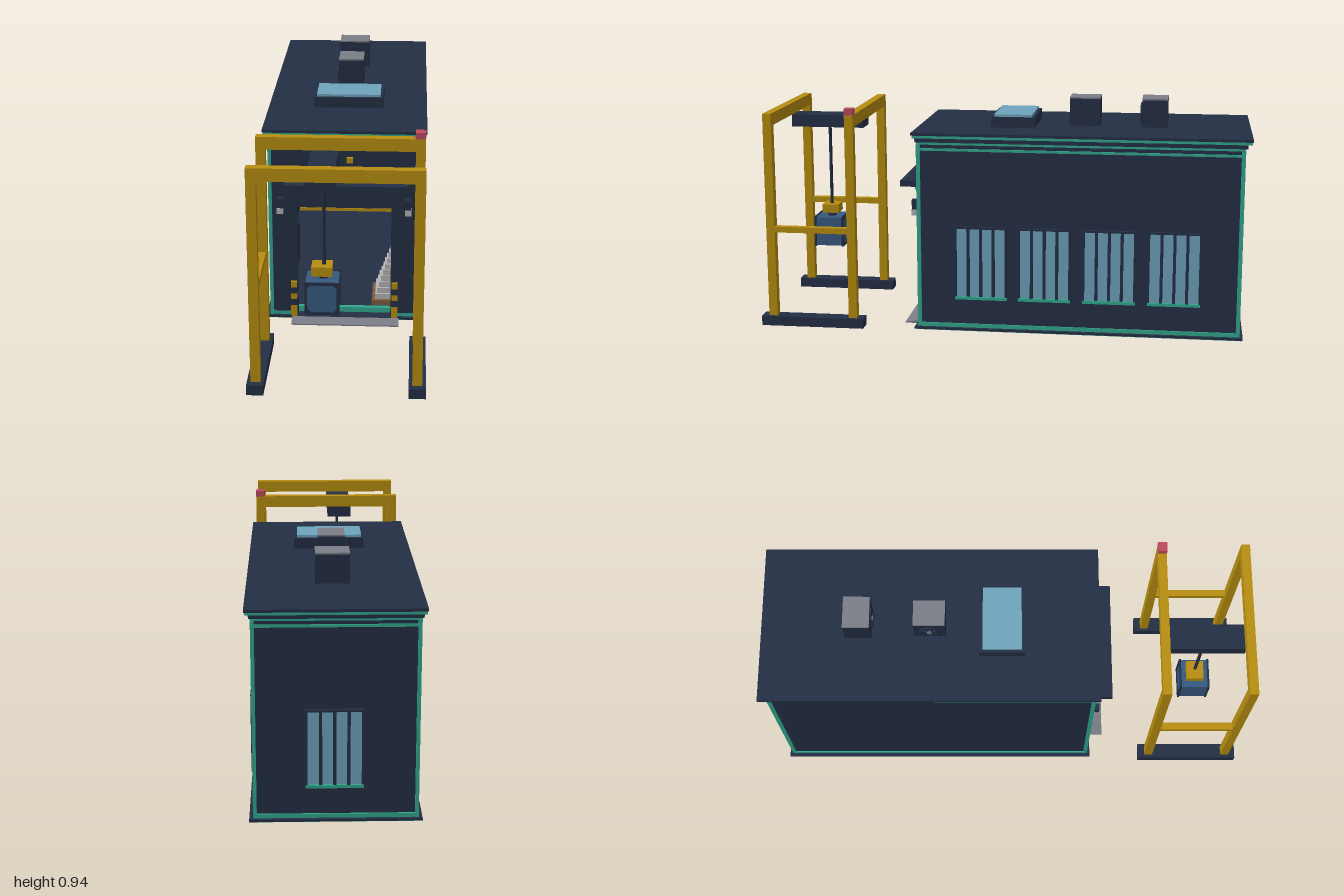
import * as THREE from 'three';

const mat = (name, color) => {
  const m = new THREE.MeshStandardMaterial({ color });
  m.name = name;
  return m;
};

export function createModel() {
  const navy = mat('navy', 0x242f46), teal = mat('teal', 0x32a990), yellow = mat('yellow', 0xb88f10);
  const glass = mat('glass', 0x6fa5be), blue = mat('blue', 0x375a82), grey = mat('grey', 0x7b7e88);
  const white = mat('pale stone', 0xb4b4b6), red = mat('red', 0xc04a60), brown = mat('brown', 0x7d5a3c);

  const root = new THREE.Group();
  const group = (name, parent = root) => {
    const g = new THREE.Group();
    g.name = name;
    parent.add(g);
    return g;
  };
  // Box given by its limits on each axis
  const box = (parent, name, m, x0, x1, y0, y1, z0, z1) => {
    const mesh = new THREE.Mesh(new THREE.BoxGeometry(x1 - x0, y1 - y0, z1 - z0), m);
    mesh.position.set((x0 + x1) / 2, (y0 + y1) / 2, (z0 + z1) / 2);
    mesh.name = name;
    parent.add(mesh);
    return mesh;
  };
  // Mirrored pair of boxes, given for the +x side
  const pair = (parent, name, m, x0, x1, ...rest) => {
    box(parent, name, m, x0, x1, ...rest);
    box(parent, name, m, -x1, -x0, ...rest);
  };

  // ---- Hall: walls, floor and roof ----
  const hall = group('hall');
  const W = 0.3, ZF = 0.335, ZB = -0.965;
  pair(hall, 'sideWall', navy, W - 0.02, W, 0.014, 0.8, ZB, ZF);
  box(hall, 'backWall', navy, -W + 0.02, W - 0.02, 0.014, 0.8, ZB, ZB + 0.02);
  const front = new THREE.Shape();
  front.moveTo(-W, 0.014).lineTo(-0.2, 0.014).lineTo(-0.2, 0.55).lineTo(0.2, 0.55)
    .lineTo(0.2, 0.014).lineTo(W, 0.014).lineTo(W, 0.8).lineTo(-W, 0.8).closePath();
  const frontWall = new THREE.Mesh(new THREE.ExtrudeGeometry(front, { depth: 0.02, bevelEnabled: false }), navy);
  frontWall.position.z = ZF - 0.02;
  frontWall.name = 'frontWall';
  hall.add(frontWall);
  box(hall, 'floor', navy, -0.32, 0.32, 0.005, 0.014, -0.985, 0.355);
  box(hall, 'floorUnderside', navy, -0.295, 0.295, 0, 0.004, -0.96, 0.33);
  box(hall, 'floorRim', teal, -0.315, 0.315, 0.002, 0.006, -0.98, 0.35);
  box(hall, 'roofSlab', navy, -0.325, 0.328, 0.814, 0.825, -1, 0.36);
  box(hall, 'eaveTrim', teal, -0.322, 0.325, 0.803, 0.814, -0.996, 0.356);
  box(hall, 'eaveBand', navy, -0.312, 0.312, 0.785, 0.803, -0.98, 0.347);
  box(hall, 'eaveLine', teal, -0.306, 0.306, 0.775, 0.785, -0.972, 0.341);

  // Teal outlines around each wall
  const trim = group('wallTrim');
  for (const [y0, y1] of [[0.014, 0.03], [0.75, 0.76]]) {
    pair(trim, 'sideRail', teal, W, W + 0.006, y0, y1, ZB, ZF);
    box(trim, 'backRail', teal, -W, W, y0, y1, ZB - 0.006, ZB);
  }
  for (const z of [ZF, ZB]) pair(trim, 'cornerPost', teal, W - 0.008, W + 0.006, 0.014, 0.775, z - 0.008, z + 0.008);
  box(trim, 'threshold', teal, -0.2, 0.2, 0.014, 0.036, 0.29, 0.31);
  pair(trim, 'frontRail', teal, 0.2, W, 0.014, 0.03, ZF, ZF + 0.006);
  box(trim, 'frontTopRail', teal, -W, W, 0.755, 0.762, ZF, ZF + 0.004);

  // Windows: four tall panes with raised dark mullions
  const pane = new THREE.Shape();
  pane.moveTo(-0.105, 0.15).lineTo(-0.1, 0.143).lineTo(0.1, 0.143).lineTo(0.105, 0.15)
    .lineTo(0.105, 0.425).lineTo(0.098, 0.435).lineTo(-0.098, 0.435).lineTo(-0.105, 0.425).closePath();
  const paneGeo = new THREE.ExtrudeGeometry(pane, { depth: 0.026, bevelEnabled: false });
  const addWindow = (x, z, turn) => {
    const w = group('window', hall);
    w.position.set(x, 0, z);
    w.rotation.y = turn;
    const p = new THREE.Mesh(paneGeo, glass);
    p.position.z = -0.023;
    p.name = 'windowPane';
    w.add(p);
    for (let i = -2; i <= 2; i++) {
      const c = i * 0.0515, h = Math.abs(i) === 2 ? 0.004 : 0.006;
      box(w, 'mullion', navy, c - h, c + h, 0.148, 0.432, 0, 0.014);
    }
    box(w, 'windowHead', navy, -0.107, 0.107, 0.432, 0.44, 0, 0.014);
    box(w, 'windowSill', teal, -0.107, 0.107, 0.135, 0.147, 0, 0.014);
  };
  for (const z of [0.08, -0.18, -0.443, -0.705]) addWindow(W, z, Math.PI / 2);
  addWindow(0.005, ZB, Math.PI);

  // ---- Front face ----
  const face = group('entrance');
  pair(face, 'pilaster', navy, 0.205, 0.285, 0.03, 0.75, ZF, ZF + 0.008);
  pair(face, 'doorJamb', navy, 0.19, 0.216, 0.014, 0.585, ZF - 0.01, ZF + 0.012);
  box(face, 'doorHead', navy, -0.216, 0.216, 0.55, 0.585, ZF - 0.01, ZF + 0.012);
  box(face, 'raisedDoor', navy, -0.195, 0.195, 0.485, 0.55, 0.312, 0.322);
  box(face, 'doorEdge', yellow, -0.18, 0.19, 0.473, 0.485, 0.308, 0.326);
  box(face, 'canopy', navy, -0.24, 0.255, 0.59, 0.615, ZF, 0.42);
  box(face, 'canopyEdge', teal, -0.24, 0.255, 0.578, 0.59, ZF, 0.358);
  box(face, 'signBoard', navy, -0.205, 0.205, 0.64, 0.78, ZF, ZF + 0.01);
  box(face, 'signLedge', navy, -0.215, 0.225, 0.628, 0.642, ZF, ZF + 0.016);
  box(face, 'signLine', teal, -0.21, 0.21, 0.621, 0.626, ZF, ZF + 0.014);
  box(face, 'signPost', navy, -0.007, 0.007, 0.66, 0.745, ZF, ZF + 0.018);
  box(face, 'signPostCap', teal, -0.021, 0.021, 0.745, 0.758, ZF, ZF + 0.018);
  box(face, 'signPostFoot', teal, -0.014, 0.014, 0.639, 0.645, ZF, ZF + 0.019);
  box(face, 'signBracket', yellow, 0.01, 0.035, 0.69, 0.712, ZF, ZF + 0.024);
  pair(face, 'lampHousing', navy, 0.243, 0.268, 0.498, 0.538, ZF, 0.37);
  pair(face, 'lamp', white, 0.245, 0.27, 0.473, 0.498, ZF, 0.372);
  // Striped guard posts beside the door
  for (const [y0, y1, m] of [[0.014, 0.064, yellow], [0.064, 0.092, navy], [0.092, 0.118, yellow],
    [0.118, 0.145, navy], [0.145, 0.17, yellow]]) pair(face, 'guardPost', m, 0.194, 0.219, y0, y1, 0.34, 0.36);
  const ramp = box(face, 'ramp', grey, -0.215, 0.225, 0, 0.014, 0.335, 0.412);
  const rp = ramp.geometry.attributes.position;
  for (let i = 0; i < rp.count; i++) if (rp.getZ(i) > 0 && rp.getY(i) > 0) rp.setY(i, -0.002);
  ramp.geometry.computeVertexNormals();

  // ---- Inside: stone heap on a pallet and side cabinets ----
  const inside = group('interior');
  box(inside, 'pallet', brown, 0.11, 0.275, 0.014, 0.036, 0.06, 0.24);
  for (let i = 0; i < 9; i++) {
    const r = 0.076 - i * 0.0078, y = 0.036 + i * 0.0238;
    box(inside, 'stoneLayer', white, 0.2 - r, 0.2 + r, y, y + 0.0238, 0.15 - r, 0.15 + r);
  }
  pair(inside, 'cabinet', navy, 0.23, 0.28, 0.014, 0.2, -0.25, -0.1);
  box(inside, 'palletUnderside', brown, 0.14, 0.28, -0.0005, 0.001, 0.08, 0.22);
  for (const z of [-0.7, -0.38, -0.06]) {
    for (const x of [0.2, -0.06]) box(inside, 'floorFixing', teal, x - 0.012, x + 0.012, -0.0005, 0.001, z - 0.02, z + 0.02);
  }

  // ---- Roof equipment ----
  const roof = group('roofEquipment');
  box(roof, 'skylightCurb', navy, -0.137, 0.148, 0.825, 0.868, -0.123, 0.058);
  box(roof, 'skylightGlass', glass, -0.127, 0.136, 0.868, 0.878, -0.11, 0.046);
  const vent = (x, z, wx, wz, turn) => {
    const g = group('ventUnit', roof);
    g.position.set(x, 0, z);
    box(g, 'ventBox', navy, -wx, wx, 0.825, 0.937, -wz, wz);
    box(g, 'ventLid', grey, -wx, wx, 0.937, 0.943, -wz, wz);
    const fan = group('fan', g);
    fan.rotation.y = turn;
    const d = turn === 0 ? wz : wx;
    const ring = new THREE.Mesh(new THREE.TorusGeometry(0.036, 0.005, 6, 20), navy);
    const hub = new THREE.Mesh(new THREE.CylinderGeometry(0.01, 0.01, 0.012, 12).rotateX(Math.PI / 2), grey);
    ring.name = 'fanRing';
    hub.name = 'fanHub';
    ring.position.set(0, 0.88, d + 0.003);
    hub.position.set(0, 0.88, d + 0.003);
    fan.add(ring, hub);
    for (let i = 0; i < 3; i++) {
      const blade = box(fan, 'fanBlade', navy, -0.034, 0.034, 0.876, 0.884, d, d + 0.005);
      blade.rotation.z = i * Math.PI / 3;
    }
  };
  vent(0.002, -0.321, 0.053, 0.063, -Math.PI / 2);
  vent(0.005, -0.609, 0.065, 0.053, 0);

  // ---- Gantry crane ----
  const crane = group('gantryCrane');
  pair(crane, 'foot', navy, 0.27, 0.334, 0, 0.04, 0.57, 1);
  for (const z of [0.598, 0.937]) {
    pair(crane, 'post', yellow, 0.283, 0.32, 0.04, 0.84, z, z + 0.035);
    box(crane, 'topBeam', yellow, -0.32, 0.32, 0.84, 0.89, z, z + 0.035);
  }
  pair(crane, 'sideBrace', yellow, 0.288, 0.318, 0.396, 0.42, 0.633, 0.937);
  box(crane, 'signalLamp', red, 0.281, 0.32, 0.89, 0.916, 0.597, 0.634);
  box(crane, 'trolleyBeam', navy, -0.112, -0.007, 0.787, 0.839, 0.63, 0.942);
  const cable = new THREE.Mesh(new THREE.CylinderGeometry(0.007, 0.007, 0.345, 10), navy);
  cable.position.set(-0.054, 0.617, 0.787);
  cable.name = 'cable';
  crane.add(cable);
  box(crane, 'hookBlock', yellow, -0.1, -0.022, 0.408, 0.445, 0.752, 0.822);

  // Hanging load: blue crate with dark edge frames on its ends
  const load = group('load');
  box(load, 'crate', blue, -0.121, 0.003, 0.268, 0.392, 0.732, 0.848);
  box(load, 'crateLink', navy, -0.07, -0.04, 0.39, 0.41, 0.772, 0.802);
  const frame = new THREE.Shape();
  frame.moveTo(-0.065, -0.065).lineTo(0.065, -0.065).lineTo(0.065, 0.065).lineTo(-0.065, 0.065).closePath();
  const hole = new THREE.Path();
  for (let i = 0; i < 8; i++) {
    const s = [[0.055, 0.043], [0.043, 0.055], [-0.043, 0.055], [-0.055, 0.043],
      [-0.055, -0.043], [-0.043, -0.055], [0.043, -0.055], [0.055, -0.043]][i];
    if (i === 0) hole.moveTo(...s); else hole.lineTo(...s);
  }
  hole.closePath();
  frame.holes.push(hole);
  const frameGeo = new THREE.ExtrudeGeometry(frame, { depth: 0.008, bevelEnabled: false });
  for (const z of [0.727, 0.845]) {
    const f = new THREE.Mesh(frameGeo, navy);
    f.position.set(-0.059, 0.33, z);
    f.name = 'crateFrame';
    load.add(f);
  }
  return root;
}
